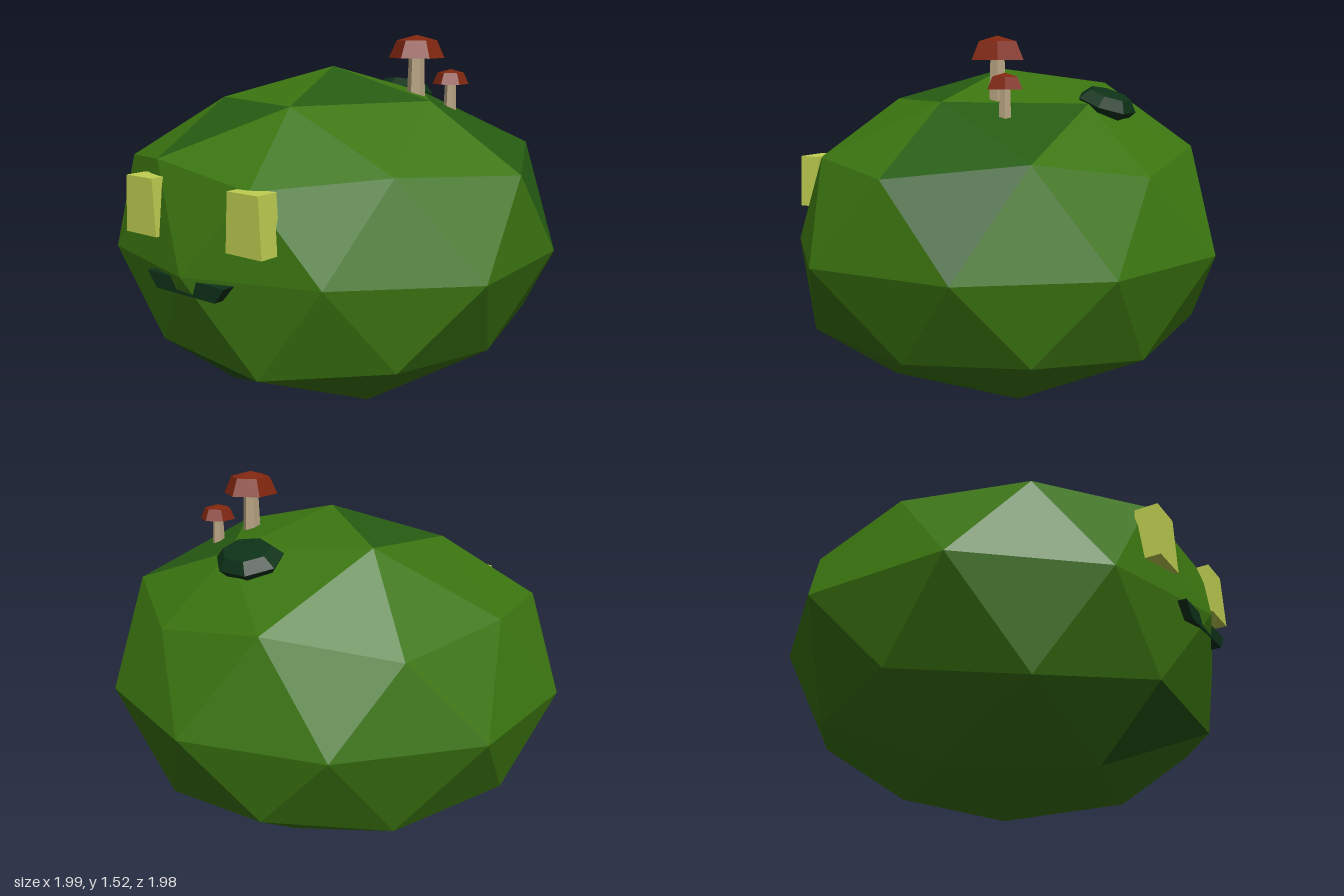
import * as THREE from 'three';

const paint = (name, color) => Object.assign(new THREE.MeshStandardMaterial({ color }), { name });

// Splits the faces apart so every facet is flat
function faceted(geometry) {
  const g = geometry.index ? geometry.toNonIndexed() : geometry;
  g.computeVertexNormals();
  return g;
}

function part(name, geometry, material) {
  const mesh = new THREE.Mesh(faceted(geometry), material);
  mesh.name = name;
  return mesh;
}

const lathe = (profile, sides) =>
  new THREE.LatheGeometry(profile.map(([r, y]) => new THREE.Vector2(r, y)), sides);

// Symmetric trapezoid plate between z0 and z1
function trapezoid(bottomHalf, topHalf, y0, y1, z0, z1) {
  const s = new THREE.Shape([
    new THREE.Vector2(-bottomHalf, y0), new THREE.Vector2(bottomHalf, y0),
    new THREE.Vector2(topHalf, y1), new THREE.Vector2(-topHalf, y1)
  ]);
  return new THREE.ExtrudeGeometry(s, { depth: z1 - z0, bevelEnabled: false }).translate(0, 0, z0);
}

// Ring of points: radii and heights, starting at an angle in degrees
function ring(start, radii, heights) {
  return radii.map((r, i) => {
    const a = THREE.MathUtils.degToRad(start + i * 360 / radii.length);
    const y = Array.isArray(heights) ? heights[i] : heights;
    return [r * Math.cos(a), y, r * Math.sin(a) + 0.03];
  });
}

// Squashed, slightly irregular geodesic ball with a flat base
function bodyGeometry() {
  const equator = ring(18, [1.04, 0.94, 0.955, 0.985, 1.05, 1.05, 1.015, 1.02, 1.015, 1.015], 0.61);
  const faces = [[], []];

  // One half: pole, cap ring a, outer ring b, in-between ring c, equator
  function half(pole, a, b, c, shift, upper, darkFaces) {
    for (let k = 0; k < 5; k++) {
      const n = (k + 1) % 5, p = (k + 4) % 5;
      const e = i => equator[(2 * k + i + shift + 10) % 10];
      const tris = [
        [pole, a[n], a[k]],
        [a[k], a[n], c[k]],
        [a[k], c[k], b[k]],
        [a[k], b[k], c[p]],
        [b[k], e(0), e(-1)],
        [b[k], c[k], e(0)],
        [b[k], e(-1), c[p]],
        [c[k], e(1), e(0)]
      ];
      tris.forEach((t, i) => {
        const tone = darkFaces.includes(k * 10 + i) ? 1 : 0;
        faces[tone].push(...(upper ? t : [t[0], t[2], t[1]]).flat());
      });
    }
  }

  half([0, 1.38, 0.03],
    ring(0, [0.52, 0.5, 0.5, 0.55, 0.53], [1.25, 1.24, 1.24, 1.31, 1.24]),
    ring(0, [0.95, 0.89, 0.93, 0.92, 0.86], [0.98, 0.96, 0.97, 0.96, 0.96]),
    ring(36, [0.85, 0.86, 0.86, 0.86, 0.88], [1.01, 1.03, 1.01, 1.04, 1.04]),
    0, true, [0, 3, 6, 11, 20, 41]);
  half([0, 0, 0.03],
    ring(36, [0.54, 0.53, 0.55, 0.5, 0.54], 0),
    ring(36, [0.9, 0.86, 0.91, 0.89, 0.9], 0.26),
    ring(72, [0.85, 0.86, 0.85, 0.85, 0.83], [0.2, 0.2, 0.2, 0.2, 0.22]),
    1, false, [13, 32]);

  const g = new THREE.BufferGeometry();
  g.setAttribute('position', new THREE.Float32BufferAttribute(faces.flat(), 3));
  g.addGroup(0, faces[0].length / 3, 0);
  g.addGroup(faces[0].length / 3, faces[1].length / 3, 1);
  return g;
}

export function createModel() {
  const model = new THREE.Group();
  model.name = 'mossBlob';
  const green = paint('moss green', 0x3b7510);
  const deepGreen = paint('deep green', 0x265c12);
  const darkGreen = paint('dark leaf green', 0x0e3218);
  const yellow = paint('eye yellow', 0xc0cf50);
  const red = paint('cap red', 0x80260f);
  const tan = paint('stem tan', 0xb8a482);

  model.add(part('body', bodyGeometry(), [green, deepGreen]));

  // Face
  for (const [name, x] of [['rightEye', -0.285], ['leftEye', 0.293]]) {
    const eye = part(name, trapezoid(0.092, 0.078, 0.727, 0.965, 0.83, 0.93), yellow);
    eye.position.x = x;
    model.add(eye);
  }
  model.add(part('mouth', trapezoid(0.165, 0.218, 0.53, 0.595, 0.88, 0.96), darkGreen));

  // Mushrooms: foot height, cap bottom, cap top, cap radius, stem radius
  for (const [name, x, z, foot, y0, y1, r, stemR] of [
    ['largeMushroom', 0.34, -0.135, 1.24, 1.42, 1.52, 0.123, 0.034],
    ['smallMushroom', 0.457, -0.235, 1.18, 1.305, 1.37, 0.08, 0.024]
  ]) {
    const shroom = new THREE.Group();
    shroom.name = name;
    const h = y1 - y0;
    shroom.add(
      part('cap', lathe([[0, y0], [r, y0], [r * 0.72, y0 + h * 0.76], [0, y1]], 6), red),
      part('stem', lathe([[0, foot], [stemR * 1.2, foot], [stemR, y0 + 0.01]], 6), tan)
    );
    shroom.position.set(x, 0, z);
    model.add(shroom);
  }

  // Mossy lump resting on the back slope
  const lump = part('mossLump',
    lathe([[0, -0.07], [0.1, -0.06], [0.14, 0], [0.1, 0.045], [0, 0.05]], 7), darkGreen);
  lump.scale.set(1.15, 1, 0.9);
  lump.rotation.x = -0.36;
  lump.position.set(0.03, 1.235, -0.5);
  model.add(lump);

  return model;
}
